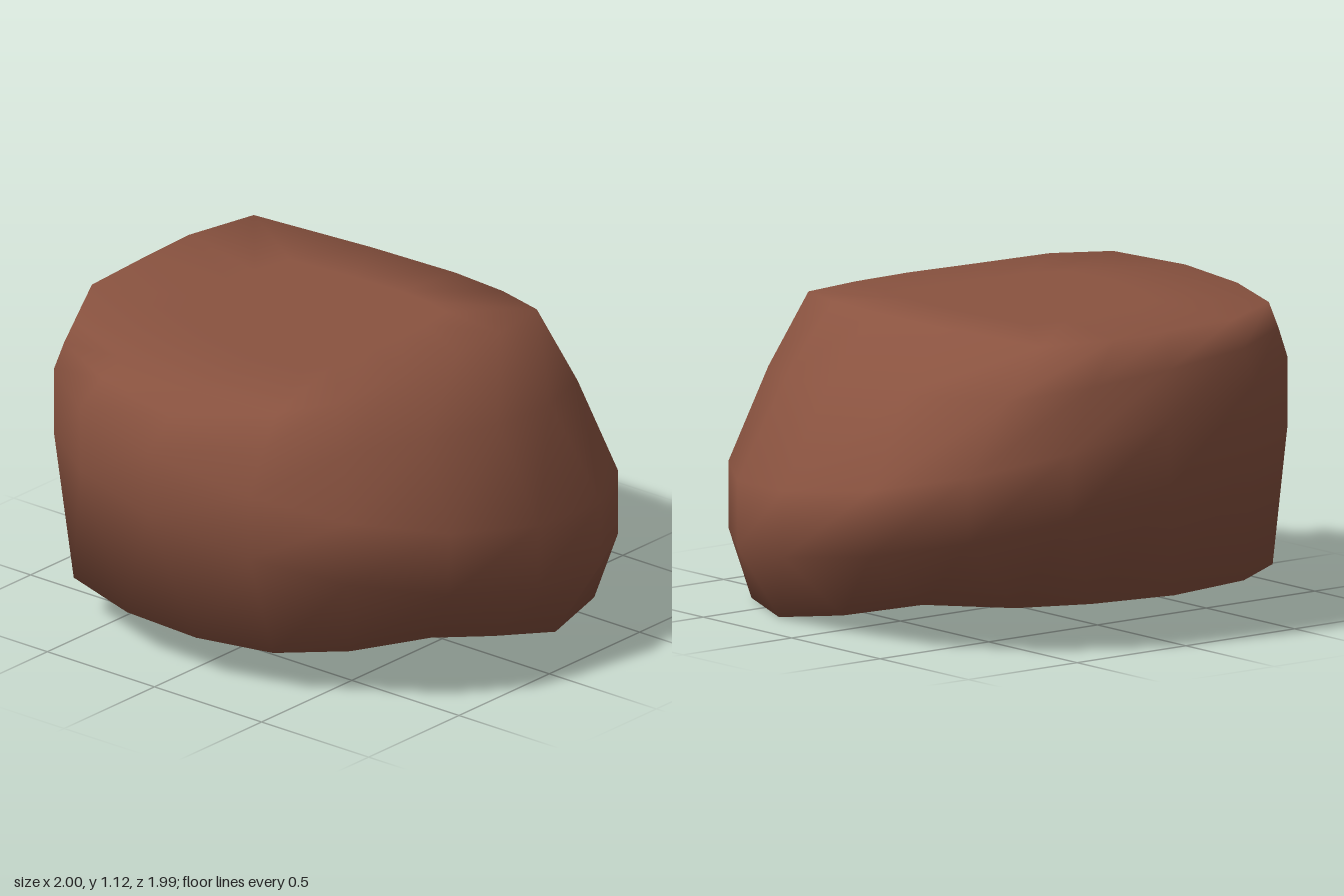
import * as THREE from 'three';

// Outlines as x, z pairs, running from the +x side towards +z
const WIDEST = [
  1, .06, .93, .47, .72, .78, .4, .95, -.04, .99, -.44, .89, -.74, .68, -.93, .37,
  -1, -.07, -.93, -.47, -.73, -.78, -.4, -.96, .05, -1, .43, -.9, .74, -.69, .93, -.37,
];
const TOP = [
  .57, 0, .55, .28, .53, .62, .42, .82, .06, .86, -.32, .79, -.67, .65, -.84, .35,
  -.86, .03, -.87, -.22, -.81, -.51, -.3, -.555, .08, -.57, .32, -.55, .52, -.5, .56, -.25,
];
const BOTTOM = [
  .78, .05, .7, .3, .56, .58, .36, .77, .06, .84, -.28, .82, -.63, .7, -.8, .43,
  -.86, .06, -.8, -.27, -.69, -.53, -.3, -.64, .03, -.74, .33, -.79, .67, -.64, .81, -.26,
];
const TOP_Y = 1.12;
const COLUMNS = 16;

// Distance along the direction in which the stone is tilted
const tilt = (x, z) => .81 * z - .58 * x;

// Underside: level on one half, sloping down to the ground on the other
const floorY = (x, z) => THREE.MathUtils.clamp(.155 + (tilt(x, z) + .225) * .28, 0, .155);

// Height of the tilted belt round the widest part
const beltY = (x, z) => .59 + .22 * tilt(x, z);

const ring = (outline, scale, height) => Array.from({ length: COLUMNS }, (_, i) => {
  const x = outline[2 * i] * scale, z = outline[2 * i + 1] * scale;
  return new THREE.Vector3(x, height(x, z), z);
});

// Ring halfway between two others, lifted where the slope is shallow
const shoulder = (low, high, bulge) => low.map((p, i) => {
  const q = high[i];
  const m = p.clone().lerp(q, .5);
  m.y += bulge * Math.hypot(p.x - q.x, p.z - q.z);
  return m;
});

function stoneGeometry() {
  const lowBelt = ring(WIDEST, 1, (x, z) => beltY(x, z) - .12);
  const highBelt = ring(WIDEST, 1, (x, z) => beltY(x, z) + .12);
  const topRim = ring(TOP, 1, () => TOP_Y);
  const rings = [
    ring(BOTTOM, .5, floorY),
    ring(BOTTOM, 1, floorY),
    lowBelt,
    highBelt,
    shoulder(highBelt, topRim, .13),
    topRim,
    ring(TOP, .55, () => TOP_Y),
  ];

  const points = rings.flat();
  const bottomCentre = points.push(new THREE.Vector3(0, floorY(0, 0), 0)) - 1;
  const topCentre = points.push(new THREE.Vector3(-.1, TOP_Y, .1)) - 1;
  const last = (rings.length - 1) * COLUMNS;
  const index = [];
  for (let j = 0; j < COLUMNS; j++) {
    const k = (j + 1) % COLUMNS;
    for (let r = 0; r < last; r += COLUMNS) {
      const a = r + j, b = r + k, c = a + COLUMNS, d = b + COLUMNS;
      index.push(a, c, b, b, c, d);
    }
    index.push(bottomCentre, j, k);
    index.push(topCentre, last + k, last + j);
  }

  const geometry = new THREE.BufferGeometry().setFromPoints(points);
  geometry.setIndex(index);
  geometry.computeVertexNormals();
  return geometry;
}

export function createModel() {
  const brown = new THREE.MeshStandardMaterial({ color: 0x8a5340 });
  brown.name = 'brown stone';

  const stone = new THREE.Mesh(stoneGeometry(), brown);
  stone.name = 'stone';

  const model = new THREE.Group();
  model.name = 'rock';
  model.add(stone);
  return model;
}
